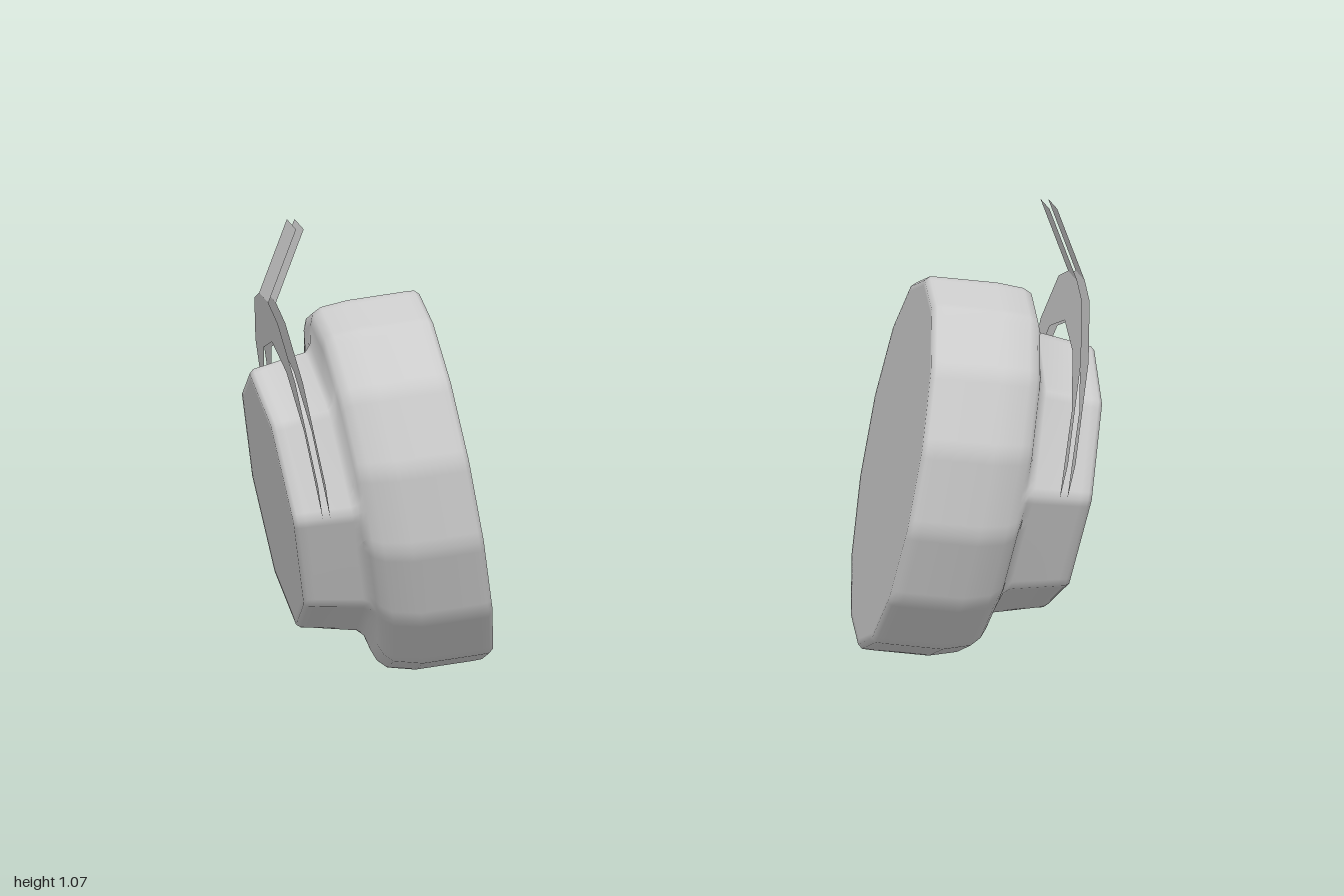
import * as THREE from 'three';
import { toCreasedNormals } from 'three/addons/utils/BufferGeometryUtils.js';

const TILT = 0.181; // lean of each ear cup, radians
const SEG = 112; // common multiple of the 14 and 8 sided rings
const grey = new THREE.MeshStandardMaterial({ color: 0xcccccc });
const greyThin = new THREE.MeshStandardMaterial({ color: 0xcccccc, side: THREE.DoubleSide });

// Radius factor of a regular polygon with a corner at angle 0
function polygonRadius(angle, sides) {
  const step = (2 * Math.PI) / sides;
  return Math.cos(step / 2) / Math.cos((angle % step) - step / 2);
}

// Closed solid along +x through rings of [x, centreY, radiusY, radiusZ, sides]
function ringSolid(rings) {
  const pos = [];
  const index = [];
  for (const [x, cy, ry, rz, sides] of rings) {
    for (let i = 0; i < SEG; i++) {
      const a = (i / SEG) * 2 * Math.PI;
      const r = polygonRadius(a, sides);
      pos.push(x, cy - ry * r * Math.cos(a), rz * r * Math.sin(a));
    }
  }
  const last = rings.length - 1;
  const start = pos.length / 3;
  pos.push(rings[0][0], rings[0][1], 0, rings[last][0], rings[last][1], 0);
  for (let i = 0; i < SEG; i++) {
    const j = (i + 1) % SEG;
    for (let k = 0; k < last; k++) {
      const a = k * SEG + i, b = k * SEG + j;
      index.push(a, b + SEG, b, a, a + SEG, b + SEG);
    }
    index.push(start, i, j, start + 1, last * SEG + j, last * SEG + i);
  }
  const geo = new THREE.BufferGeometry();
  geo.setAttribute('position', new THREE.Float32BufferAttribute(pos, 3));
  geo.setIndex(index);
  return toCreasedNormals(geo, 0.95);
}

// Flat sheet from a [z, y] outline, leaning so that x = xAt(y)
function sheet(outline, xAt, outward) {
  const shape = new THREE.Shape(outline.map(([z, y]) => new THREE.Vector2(z, y)));
  const geo = new THREE.ShapeGeometry(shape);
  const p = geo.attributes.position;
  for (let i = 0; i < p.count; i++) {
    const u = p.getX(i), y = p.getY(i);
    p.setXYZ(i, xAt(y), y, outward ? -u : u);
  }
  geo.computeVertexNormals();
  return geo;
}

function addMesh(parent, name, geo, material) {
  const mesh = new THREE.Mesh(geo, material);
  mesh.name = name;
  parent.add(mesh);
}

function createEar(name) {
  const ear = new THREE.Group();
  ear.name = name;

  // Fourteen-sided cushion stepping down to an eight-sided outer cap, edges softly rounded
  const cup = new THREE.Group();
  cup.name = 'earCup';
  cup.position.set(0.52, 0.463, 0);
  cup.rotation.z = -TILT;
  addMesh(cup, 'cushionAndCap', ringSolid([
    [0, 0, 0.425, 0.36, 14],
    [0, 0, 0.438, 0.37, 14],
    [0.011, 0.001, 0.448, 0.379, 14],
    [0.03, 0.002, 0.449, 0.38, 14],
    [0.17, 0.01, 0.449, 0.381, 14],
    [0.235, 0.018, 0.438, 0.364, 14],
    [0.256, 0.024, 0.422, 0.35, 14],
    [0.266, 0.024, 0.395, 0.342, 14],
    [0.275, 0.021, 0.355, 0.333, 8],
    [0.29, 0.02, 0.338, 0.328, 8],
    [0.4, 0.029, 0.317, 0.325, 8],
    [0.418, 0.03, 0.314, 0.322, 8],
    [0.428, 0.03, 0.305, 0.313, 8],
    [0.428, 0.03, 0.29, 0.298, 8],
  ]), grey);
  ear.add(cup);

  // Forked yoke: outer edge from the stem to the tip, then back along the inner edge
  const outer = [[0.07, 0.895], [0.178, 0.865], [0.305, 0.743], [0.376, 0.512], [0.352, 0.427]];
  const inner = [[0.302, 0.627], [0.172, 0.747]];
  const half = [...outer, ...inner];
  const mirrored = half.map(([z, y]) => [-z, y]).reverse();
  const yoke = [...half, [0, 0.79], ...mirrored];
  const stem = [[0.07, 0.895], [0.07, 1.068], [-0.07, 1.068], [-0.07, 0.895]];

  // Two parallel sheets, the stem folded inwards above the fork
  for (const [side, x0] of [['Outer', 0.968], ['Inner', 0.95]]) {
    const out = side === 'Outer';
    addMesh(ear, 'yoke' + side, sheet(yoke, (y) => x0 + 0.183 * (y - 0.895), out), greyThin);
    addMesh(ear, 'stem' + side, sheet(stem, (y) => x0 - 0.38 * (y - 0.895), out), greyThin);
  }
  return ear;
}

export function createModel() {
  const model = new THREE.Group();
  model.name = 'headphoneEarCups';
  const left = createEar('leftEar');
  const right = createEar('rightEar');
  right.rotation.y = Math.PI;
  model.add(left, right);
  return model;
}
